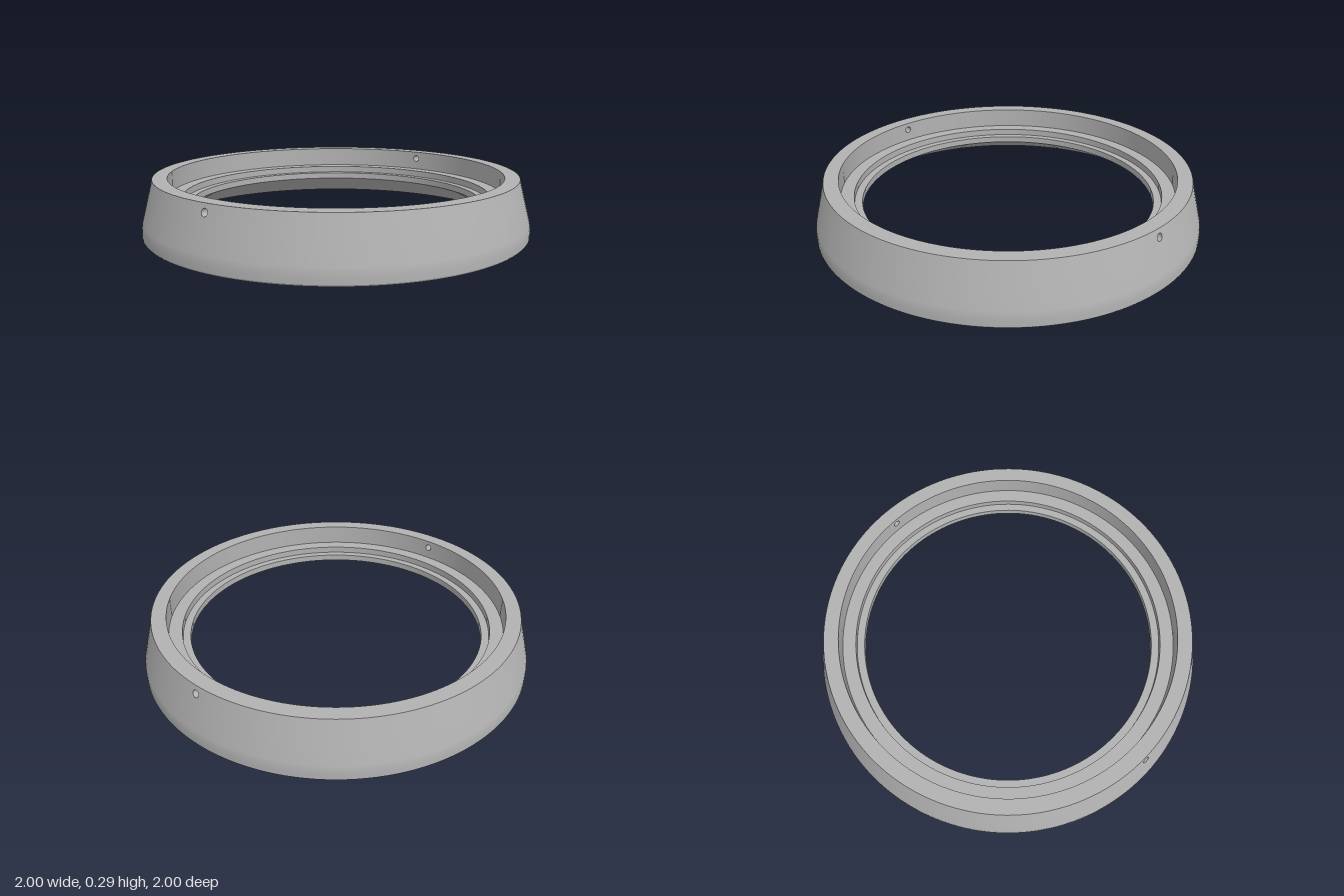
import * as THREE from 'three';

const SEGMENTS = 144;
const HALF = (2 * Math.PI) / SEGMENTS; // half-angle of the panels holding the pin holes
const TOP = 0.29, HOLE_Y = 0.25, HOLE_R = 0.018, HOLE_SIDES = 20;
const SLOPE = 0.26;
const outerR = (y) => 0.94 + (TOP - y) * SLOPE;
const innerR = () => 0.865;

export function createModel() {
  const group = new THREE.Group();
  const grey = new THREE.MeshStandardMaterial({ color: 0xb2b2b2, side: THREE.DoubleSide });
  grey.name = 'grey';

  const add = (name, geometry) => {
    const mesh = new THREE.Mesh(geometry, grey);
    mesh.name = name;
    group.add(mesh);
    return mesh;
  };

  // Revolve one smooth band; separate bands keep the edges between them sharp
  const band = (name, profile, start = 0, length = Math.PI * 2) => {
    const points = profile.map(([r, y]) => new THREE.Vector2(r, y));
    const count = Math.round((SEGMENTS * length) / (Math.PI * 2));
    return add(name, new THREE.LatheGeometry(points, count, start, length));
  };

  // Small curved wall panel with a round hole, facing +z (or inward)
  const holedPanel = (radius, slope, y0, inward) => {
    const shape = new THREE.Shape();
    const w0 = radius(y0) * Math.sin(HALF), w1 = radius(TOP) * Math.sin(HALF);
    shape.moveTo(-w0, y0).lineTo(0, y0).lineTo(w0, y0);
    shape.lineTo(w1, TOP).lineTo(0, TOP).lineTo(-w1, TOP);
    const hole = new THREE.Path();
    hole.absarc(0, HOLE_Y, HOLE_R, 0, Math.PI * 2, true);
    shape.holes.push(hole);
    const geometry = new THREE.ShapeGeometry(shape, HOLE_SIDES);
    const p = geometry.attributes.position, n = geometry.attributes.normal;
    const dir = inward ? -1 : 1;
    for (let i = 0; i < p.count; i++) {
      const y = p.getY(i), x = p.getX(i) * dir, r = radius(y);
      const z = Math.sqrt(r * r - x * x);
      const k = dir / Math.hypot(1, slope);
      p.setXYZ(i, x, y, z);
      n.setXYZ(i, (x / r) * k, slope * k, (z / r) * k);
    }
    return geometry;
  };

  // Bore running from the inner wall to the sloping outer wall
  const boreGeometry = () => {
    const geometry = new THREE.CylinderGeometry(HOLE_R, HOLE_R, 1, HOLE_SIDES, 1, true);
    geometry.rotateX(Math.PI / 2);
    const p = geometry.attributes.position;
    for (let i = 0; i < p.count; i++) {
      const x = p.getX(i), y = p.getY(i) + HOLE_Y;
      const r = p.getZ(i) > 0 ? outerR(y) : innerR();
      p.setXYZ(i, x, y, Math.sqrt(r * r - x * x));
    }
    return geometry;
  };

  // Outer skirt: straight foot blending into the taper
  band('footChamfer', [[0.995, 0], [1, 0.008]]);
  band('outerSkirt', [[1, 0.008], [1, 0.035], [0.9985, 0.058], [outerR(0.08), 0.08], [outerR(0.2), 0.2]]);

  // Top rim, stepped seats, bore and hollow underside
  band('topRim', [[0.94, TOP], [0.865, TOP]]);
  band('upperLedge', [[0.865, 0.185], [0.797, 0.185]]);
  band('middleWall', [[0.797, 0.185], [0.797, 0.15]]);
  band('lowerLedge', [[0.797, 0.15], [0.758, 0.15]]);
  band('lowerWall', [[0.758, 0.15], [0.758, 0.116]]);
  band('conicalUnderside', [[0.758, 0.116], [0.982, 0]]);
  band('footRim', [[0.982, 0], [0.995, 0]]);

  // Upper walls, each in two arcs with holed panels at front and back
  for (const [side, turn] of [['front', 0], ['back', Math.PI]]) {
    const start = turn + HALF, length = Math.PI - 2 * HALF;
    band('outerWall', [[outerR(0.2), 0.2], [0.94, TOP]], start, length);
    band('innerWall', [[0.865, TOP], [0.865, 0.185]], start, length);
    add(side + 'OuterPanel', holedPanel(outerR, SLOPE, 0.2, false)).rotation.y = turn;
    add(side + 'InnerPanel', holedPanel(innerR, 0, 0.185, true)).rotation.y = turn;
    add(side + 'PinHole', boreGeometry()).rotation.y = turn;
  }
  return group;
}
